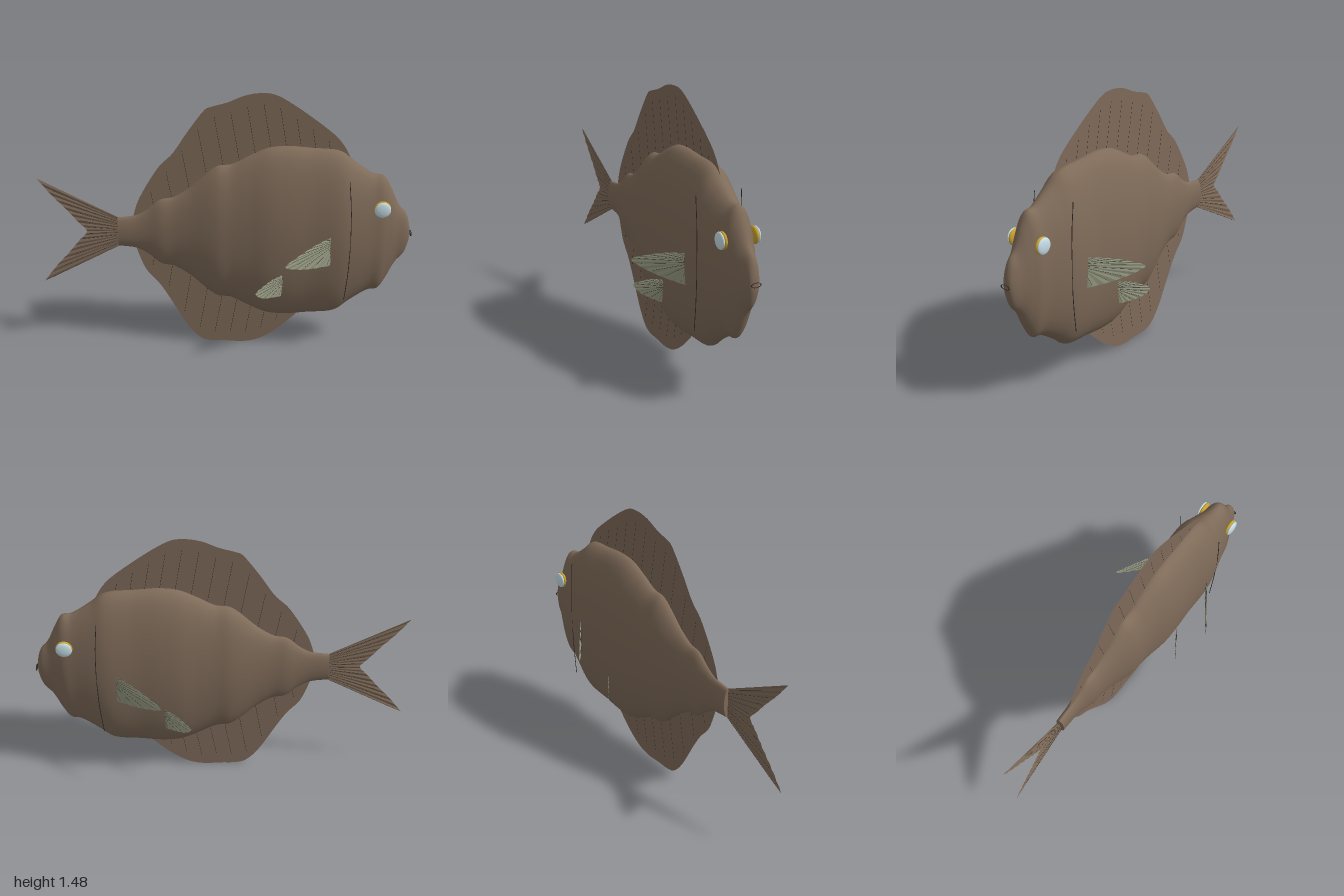
import * as THREE from 'three';

const MID = 0.692; // height of the body axis

const mat = (name, color, side = THREE.FrontSide) => {
  const m = new THREE.MeshStandardMaterial({ color, side });
  m.name = name;
  return m;
};
const V = (x, y, z = 0) => new THREE.Vector3(x, y, z);

export function createModel() {
  const skin = mat('brown skin', 0x7f6b59);
  const membrane = mat('brown fin membrane', 0x7f6b59, THREE.DoubleSide);
  const olive = mat('olive fin membrane', 0x969a82, THREE.DoubleSide);
  const dark = mat('dark line', 0x2a2521);
  const gold = mat('gold iris', 0xc9a22e);
  const pale = mat('pale blue eye', 0xc8dfe8);

  const fish = new THREE.Group();
  fish.name = 'fish';
  const add = (name, geometry, material, parent = fish) => {
    const mesh = new THREE.Mesh(geometry, material);
    mesh.name = name;
    parent.add(mesh);
    return mesh;
  };
  const group = (name) => {
    const g = new THREE.Group();
    g.name = name;
    fish.add(g);
    return g;
  };
  // very thin straight rod between two points
  const ray = (a, b, parent) =>
    add('finRay', new THREE.TubeGeometry(new THREE.LineCurve3(a, b), 1, 0.0007, 4), dark, parent);

  // Body: elliptical rings along x, each station is [x, half height, half width]
  const stations = [
    [-0.58, 0.083, 0.025], [-0.48, 0.098, 0.028], [-0.42, 0.132, 0.036], [-0.35, 0.19, 0.05],
    [-0.28, 0.205, 0.056], [-0.2, 0.255, 0.07], [-0.05, 0.383, 0.105], [0.03, 0.396, 0.11],
    [0.12, 0.443, 0.12], [0.22, 0.488, 0.135], [0.32, 0.499, 0.138], [0.45, 0.489, 0.134],
    [0.6, 0.472, 0.138], [0.68, 0.41, 0.124], [0.78, 0.345, 0.098], [0.83, 0.336, 0.088],
    [0.87, 0.275, 0.072], [0.92, 0.17, 0.05], [0.96, 0.122, 0.036], [0.982, 0.055, 0.022],
    [0.988, 0.001, 0.001],
  ];
  const profile = new THREE.CatmullRomCurve3(stations.map((s) => V(...s)));
  const RINGS = 120, SIDES = 48;
  const pos = [], idx = [];
  for (let i = 0; i <= RINGS; i++) {
    const p = profile.getPoint(i / RINGS);
    for (let j = 0; j < SIDES; j++) {
      const a = (j / SIDES) * Math.PI * 2;
      pos.push(p.x, MID + p.y * Math.sin(a), p.z * Math.cos(a));
      if (i === RINGS) continue;
      const k = (j + 1) % SIDES, A = i * SIDES, B = A + SIDES;
      idx.push(A + j, B + j, B + k, A + j, B + k, A + k);
    }
  }
  const bodyGeo = new THREE.BufferGeometry();
  bodyGeo.setAttribute('position', new THREE.Float32BufferAttribute(pos, 3));
  bodyGeo.setIndex(idx);
  bodyGeo.computeVertexNormals();
  add('body', bodyGeo, skin);
  const stump = add('tailStump', new THREE.CircleGeometry(1, SIDES), skin);
  stump.scale.set(0.025, 0.083, 1);
  stump.rotation.y = -Math.PI / 2;
  stump.position.set(-0.58, MID, 0);

  // Dorsal and anal fins: flat sheets rooted inside the body, with slanted rays
  const lookup = (pts, x) => {
    const i = Math.max(1, pts.findIndex((p) => p[0] >= x));
    const [a, b] = [pts[i - 1], pts[i]];
    return a[1] + ((b[1] - a[1]) * (x - a[0])) / (b[0] - a[0]);
  };
  const medianFin = (name, pts, inner, up) => {
    const g = group(name);
    const shape = new THREE.Shape();
    shape.moveTo(pts[0][0], pts[0][1]);
    shape.splineThru(pts.slice(1).map((p) => new THREE.Vector2(...p)));
    inner.forEach((p) => shape.lineTo(...p));
    add(name + 'Membrane', new THREE.ShapeGeometry(shape, 10), membrane, g);
    const last = pts[pts.length - 1][0] - 0.1;
    for (let x = -0.4; x < last; x += 0.085) {
      const y = lookup(pts, x) - up * 0.06;
      const root = MID + up * (lookup(stations, x + 0.04) - 0.03);
      if (up * (y - root) > 0.03) ray(V(x, y), V(x + 0.17 * Math.abs(y - root), root), g);
    }
  };
  medianFin('dorsalFin', [
    [-0.5, 0.77], [-0.46, 0.89], [-0.36, 1.06], [-0.278, 1.147], [-0.2, 1.265], [-0.115, 1.38],
    [-0.075, 1.403], [0.01, 1.428], [0.1, 1.465], [0.19, 1.478], [0.27, 1.462], [0.4, 1.38],
    [0.55, 1.265], [0.61, 1.2], [0.65, 1.13],
  ], [[0.55, 1.05], [0.1, 1.0], [-0.2, 0.8], [-0.46, 0.72]], 1);
  medianFin('analFin', [
    [-0.49, 0.61], [-0.44, 0.47], [-0.37, 0.38], [-0.32, 0.3], [-0.22, 0.12], [-0.15, 0.035],
    [-0.09, 0.01], [0, 0.007], [0.1, 0.003], [0.19, 0.025], [0.29, 0.09], [0.41, 0.205],
  ], [[0.38, 0.3], [0.1, 0.38], [-0.2, 0.58], [-0.46, 0.66]], -1);

  // Pleated fan between a root line and an edge curve, with rays on some folds
  const fan = (name, rootA, rootB, edge, normal, folds, depth, material) => {
    const g = group(name);
    const curve = new THREE.CatmullRomCurve3(edge);
    const p = [], rows = [];
    for (let i = 0; i <= folds; i++) {
      const t = i / folds;
      const tip = curve.getPoint(t).addScaledVector(normal, i % 2 ? depth : -depth);
      rows.push([rootA.clone().lerp(rootB, t), tip]);
    }
    for (let i = 0; i < folds; i++) {
      const [a, b] = rows[i], [c, d] = rows[i + 1];
      for (const v of [a, b, d, a, d, c]) p.push(v.x, v.y, v.z);
    }
    const geo = new THREE.BufferGeometry();
    geo.setAttribute('position', new THREE.Float32BufferAttribute(p, 3));
    geo.computeVertexNormals();
    add(name + 'Membrane', geo, material, g);
    rows.filter((_, i) => i % 3 === 2).forEach(([a, b]) => ray(a, a.clone().lerp(b, 0.9), g));
  };

  // Forked tail
  const lobe = [[-1, 0.308], [-0.925, 0.21], [-0.85, 0.125], [-0.79, 0.05]];
  fan('tailFin', V(-0.57, MID + 0.08), V(-0.57, MID - 0.08), [
    ...lobe.map(([x, y]) => V(x, MID + y)), V(-0.75, MID),
    ...lobe.slice().reverse().map(([x, y]) => V(x, MID - y)),
  ], V(0, 0, 1), 32, 0.002, membrane);

  // Paired fins, eyes and gill slits on both sides
  for (const s of [1, -1]) {
    const side = s > 0 ? 'right' : 'left';
    const paired = (name, x0, z0, dx, dz, rootY, edge) => {
      const at = ([u, y]) => V(x0 - dx * u, y, s * (z0 + dz * u));
      fan(side + name, at([-0.05, rootY + 0.025]), at([-0.05, rootY - 0.025]), edge.map(at),
        V(dz, 0, s * dx).normalize(), 24, 0.0015, olive);
    };
    paired('PectoralFin', 0.56, 0.133, 0.25, 0.177, 0.685,
      [[0, 0.728], [0.35, 0.712], [0.7, 0.682], [1, 0.642], [0.75, 0.605], [0.4, 0.578], [0, 0.56]]);
    paired('PelvicFin', 0.3, 0.13, 0.14, 0.095, 0.46,
      [[0, 0.497], [0.35, 0.488], [0.7, 0.466], [1, 0.435], [0.8, 0.4], [0.4, 0.38], [0, 0.37]]);

    const ball = new THREE.SphereGeometry(1, 32, 20);
    const iris = add(side + 'Iris', ball, gold);
    iris.scale.set(0.045, 0.045, 0.016);
    iris.position.set(0.823, 0.87, s * 0.086);
    const cornea = add(side + 'Cornea', ball, pale);
    cornea.scale.set(0.043, 0.043, 0.012);
    cornea.position.set(0.823, 0.87, s * 0.099);

    const gill = new THREE.CatmullRomCurve3([
      V(0.64, 1.045, s * 0.126), V(0.655, 0.88, s * 0.1265), V(0.66, 0.695, s * 0.127),
      V(0.655, 0.51, s * 0.1265), V(0.64, 0.345, s * 0.126),
    ]);
    add(side + 'GillSlit', new THREE.TubeGeometry(gill, 24, 0.002, 6), dark);
  }

  // Mouth ring at the snout
  const mouth = add('mouth', new THREE.TorusGeometry(0.026, 0.0025, 8, 32), dark);
  mouth.rotation.y = Math.PI / 2;
  mouth.scale.y = 0.45;
  mouth.position.set(0.994, 0.69, 0);

  return fish;
}
